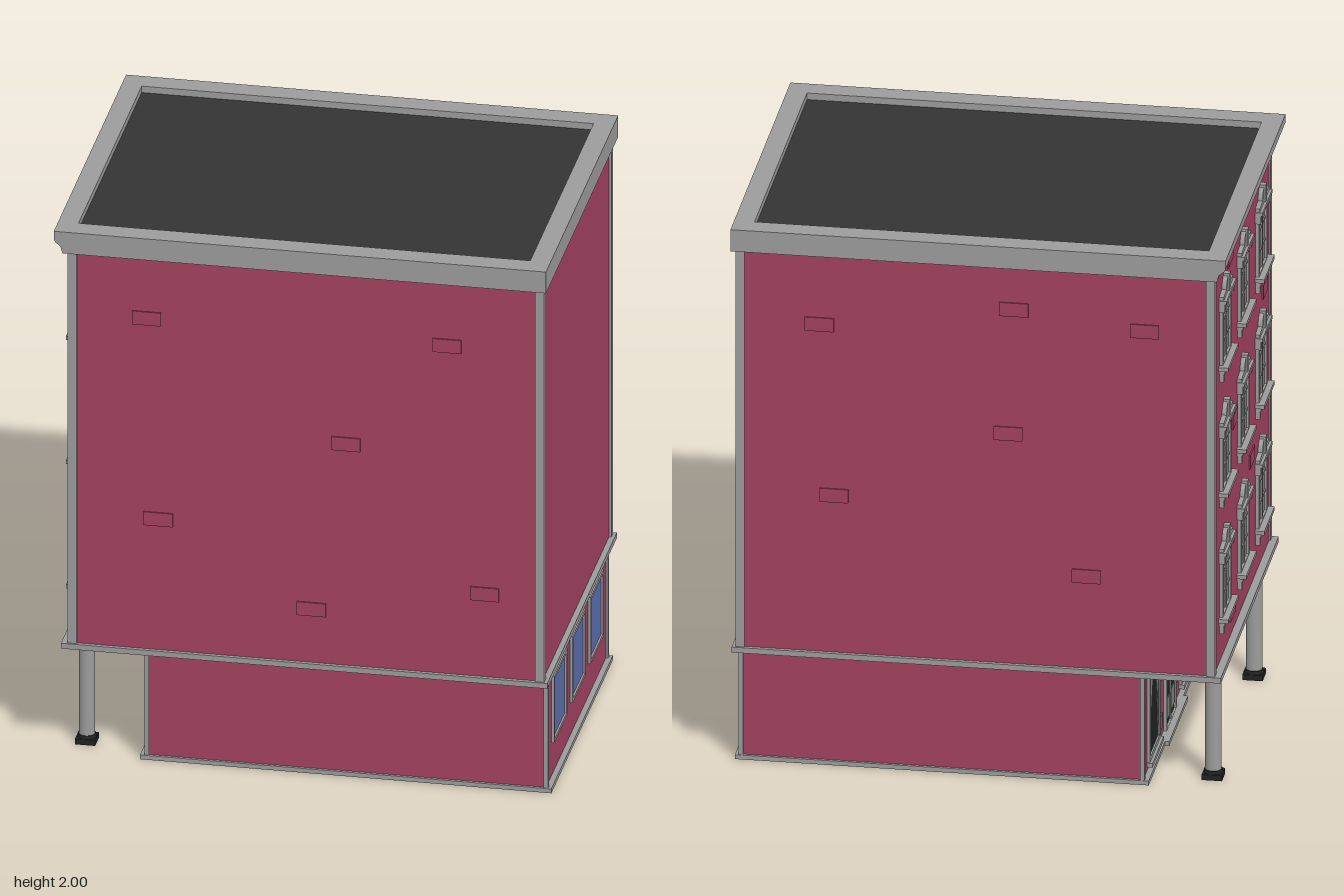
import * as THREE from 'three';

const mat = (name, color) => Object.assign(new THREE.MeshStandardMaterial({ color }), { name });

export function createModel() {
  const brick = mat('brick red', 0xa44161);
  const stone = mat('grey stone', 0x9c9c9c);
  const roofing = mat('dark roofing', 0x343434);
  const blue = mat('blue glass', 0x5c6cac);
  const pane = mat('grey pane', 0x7e837f);
  const black = mat('black', 0x222222);

  const model = new THREE.Group();
  model.name = 'cornerBuilding';

  const add = (parent, name, geo, material) => {
    const m = new THREE.Mesh(geo, material);
    m.name = name;
    parent.add(m);
    return m;
  };
  // Box given by its minimum and maximum on each axis
  const box = (parent, name, material, x0, x1, y0, y1, z0, z1) => {
    const m = add(parent, name, new THREE.BoxGeometry(x1 - x0, y1 - y0, z1 - z0), material);
    m.position.set((x0 + x1) / 2, (y0 + y1) / 2, (z0 + z1) / 2);
    return m;
  };
  const rectPoints = (x0, x1, y0, y1) => [[x0, y0], [x1, y0], [x1, y1], [x0, y1]].map(([x, y]) => new THREE.Vector2(x, y));
  // Flat rectangular frame in the xy plane, from z = 0 to z = depth
  const frameGeo = (x0, x1, y0, y1, border, depth, bottom = border) => {
    const s = new THREE.Shape(rectPoints(x0, x1, y0, y1));
    s.holes.push(new THREE.Path(rectPoints(x0 + border, x1 - border, y0 + bottom, y1 - border)));
    return new THREE.ExtrudeGeometry(s, { depth, bevelEnabled: false });
  };
  const facing = (name, x, y, z, turn) => {
    const g = new THREE.Group();
    g.name = name;
    g.position.set(x, y, z);
    g.rotation.y = turn;
    model.add(g);
    return g;
  };
  const LEFT = -Math.PI / 2, RIGHT = Math.PI / 2;

  // Ground floor
  box(model, 'groundFloorWall', brick, -0.555, 0.83, 0.01, 0.43, -0.535, 0.535);
  box(model, 'plinth', stone, -0.575, 0.85, 0, 0.016, -0.545, 0.545);
  // Overhanging upper floors
  box(model, 'upperWall', brick, -0.808, 0.83, 0.43, 1.93, -0.603, 0.603);
  box(model, 'floorLedge', stone, -0.835, 0.85, 0.425, 0.445, -0.617, 0.617);

  // Corner strips
  for (const s of [-1, 1]) {
    const strip = (x0, x1, y0, y1, zi, zo) =>
      box(model, 'cornerStrip', stone, x0, x1, y0, y1, Math.min(s * zi, s * zo), Math.max(s * zi, s * zo));
    strip(-0.813, -0.782, 0.44, 1.93, 0.578, 0.61);
    strip(0.807, 0.838, 0.44, 1.93, 0.578, 0.61);
    strip(-0.56, -0.545, 0.015, 0.426, 0.522, 0.542);
    strip(0.822, 0.838, 0.015, 0.426, 0.522, 0.542);
  }

  // Cornice: moulded slab, then parapet ring around the roof
  const profile = new THREE.Shape([
    [-0.825, 1.92], [0.85, 1.92], [0.85, 1.97], [-0.855, 1.97], [-0.85, 1.96], [-0.832, 1.945],
  ].map(([x, y]) => new THREE.Vector2(x, y)));
  add(model, 'cornice', new THREE.ExtrudeGeometry(profile, { depth: 1.28, bevelEnabled: false }), stone).position.z = -0.64;
  const ring = new THREE.Shape(rectPoints(-0.855, 0.85, -0.64, 0.64));
  ring.holes.push(new THREE.Path(rectPoints(-0.785, 0.78, -0.56, 0.56)));
  const parapet = add(model, 'parapet', new THREE.ExtrudeGeometry(ring, { depth: 0.03, bevelEnabled: false }), stone);
  parapet.rotation.x = -Math.PI / 2;
  parapet.position.y = 1.97;
  box(model, 'roof', roofing, -0.785, 0.78, 1.968, 1.976, -0.56, 0.56);

  // Columns under the overhang
  for (const z of [-0.435, 0.435]) {
    const c = facing('column', -0.78, 0, z, 0);
    add(c, 'columnShaft', new THREE.CylinderGeometry(0.028, 0.028, 0.4, 24), stone).position.y = 0.226;
    box(c, 'columnBase', black, -0.035, 0.035, 0, 0.02, -0.035, 0.035);
    add(c, 'columnCollar', new THREE.CylinderGeometry(0.031, 0.034, 0.012, 24), black).position.y = 0.026;
  }

  // Blue windows on the right side
  for (const z of [-0.32, 0, 0.325]) {
    const w = facing('sideWindow', 0.828, 0.14, z, RIGHT);
    add(w, 'sideFrame', frameGeo(-0.115, 0.115, 0, 0.25, 0.012, 0.012), stone);
    box(w, 'sideGlass', blue, -0.105, 0.105, 0.01, 0.24, 0, 0.005);
  }

  // Ornate facade windows, three by three
  const arch = new THREE.Shape();
  arch.moveTo(-0.1, 0.245);
  arch.lineTo(0.1, 0.245);
  arch.lineTo(0.1, 0.27);
  arch.lineTo(0.052, 0.275);
  arch.absarc(0, 0.275, 0.04, 0, Math.PI, false);
  arch.lineTo(-0.052, 0.275);
  arch.lineTo(-0.1, 0.27);
  for (let row = 0; row < 3; row++) {
    for (const z of [-0.385, 0, 0.385]) {
      const w = facing('facadeWindow', -0.808, 0.595 + row * 0.466, z, LEFT);
      box(w, 'windowPane', pane, -0.08, 0.08, 0, 0.25, 0, 0.004);
      add(w, 'windowFrame', frameGeo(-0.09, 0.09, 0, 0.255, 0.017, 0.012), stone);
      box(w, 'mullion', stone, -0.006, 0.006, 0.01, 0.25, 0, 0.009);
      for (const y of [0.085, 0.165]) box(w, 'glazingBar', stone, -0.075, 0.075, y, y + 0.008, 0, 0.008);
      box(w, 'sill', stone, -0.11, 0.11, 0, 0.014, 0, 0.033);
      box(w, 'sillMoulding', stone, -0.1, 0.1, -0.014, 0, 0, 0.02);
      add(w, 'hood', new THREE.ExtrudeGeometry(arch, { depth: 0.016, bevelEnabled: false, curveSegments: 16 }), stone);
      box(w, 'hoodLedge', stone, -0.105, 0.105, 0.245, 0.258, 0, 0.026);
      for (const s of [-1, 1]) {
        box(w, 'sillBracket', stone, s * 0.085 - 0.012, s * 0.085 + 0.012, -0.045, -0.014, 0, 0.016);
        box(w, 'hoodBracket', stone, s * 0.092 - 0.011, s * 0.092 + 0.011, 0.215, 0.245, 0, 0.02);
      }
      // Keystone at the crown of the hood
      box(w, 'keystone', stone, -0.012, 0.012, 0.26, 0.322, 0, 0.022);
    }
  }

  // Shop windows beside the door
  for (const z of [-0.34, 0.34]) {
    const w = facing('shopWindow', -0.555, 0.03, z, LEFT);
    box(w, 'shopGlass', black, -0.1, 0.1, 0.01, 0.34, 0, 0.004);
    add(w, 'shopFrame', frameGeo(-0.115, 0.115, 0, 0.35, 0.018, 0.01, 0.03), stone);
    box(w, 'shopSill', stone, -0.12, 0.12, 0, 0.015, 0, 0.02);
    for (const s of [-1, 1]) {
      const curtain = new THREE.Shape([[0.085, 0.33], [0.02, 0.33], [0.06, 0.2], [0.085, 0.03]].map(([x, y]) => new THREE.Vector2(s * x, y)));
      add(w, 'curtain', new THREE.ExtrudeGeometry(curtain, { depth: 0.007, bevelEnabled: false }), pane);
    }
  }

  // Entrance
  const door = facing('entrance', -0.555, 0, 0, LEFT);
  box(door, 'doorStep', stone, -0.2, 0.2, 0, 0.016, 0, 0.035);
  add(door, 'doorFrame', frameGeo(-0.11, 0.11, 0.016, 0.39, 0.02, 0.012, 0.002), stone);
  box(door, 'doorLeaf', black, -0.095, 0.095, 0.016, 0.38, 0, 0.005);
  box(door, 'doorTransom', stone, -0.095, 0.095, 0.3, 0.312, 0, 0.009);
  box(door, 'doorPost', stone, -0.006, 0.006, 0.016, 0.3, 0, 0.009);
  for (const s of [-1, 1]) box(door, 'doorPanel', pane, s * 0.05 - 0.03, s * 0.05 + 0.03, 0.04, 0.12, 0, 0.008);

  // Scattered raised bricks: position along the wall and top edge
  const bricks = (place, list, w = 0.1) => list.forEach(([u, y]) => {
    const g = place(u, y);
    box(g, 'raisedBrick', brick, -w / 2, w / 2, -0.05, 0, -0.004, 0.005);
  });
  bricks((x, y) => facing('frontBrick', x, y, 0.603, 0),
    [[-0.54, 1.71], [0.5, 1.7], [0.15, 1.3], [-0.5, 0.96], [0.03, 0.67], [0.63, 0.78]]);
  bricks((x, y) => facing('backBrick', x, y, -0.603, Math.PI),
    [[0.55, 1.68], [-0.12, 1.78], [-0.57, 1.73], [-0.1, 1.32], [0.5, 1.05], [-0.37, 0.81]]);
  bricks((z, y) => facing('facadeBrick', -0.808, y, z, LEFT),
    [[-0.26, 1.88], [0.48, 1.45], [-0.16, 1.24], [0.2, 0.94], [-0.21, 0.55]]);
  bricks((z, y) => facing('entranceBrick', -0.555, y, z, LEFT),
    [[0.17, 0.39], [0.18, 0.27], [0.17, 0.13], [-0.17, 0.28], [-0.18, 0.1], [0.49, 0.13]], 0.06);

  return model;
}
